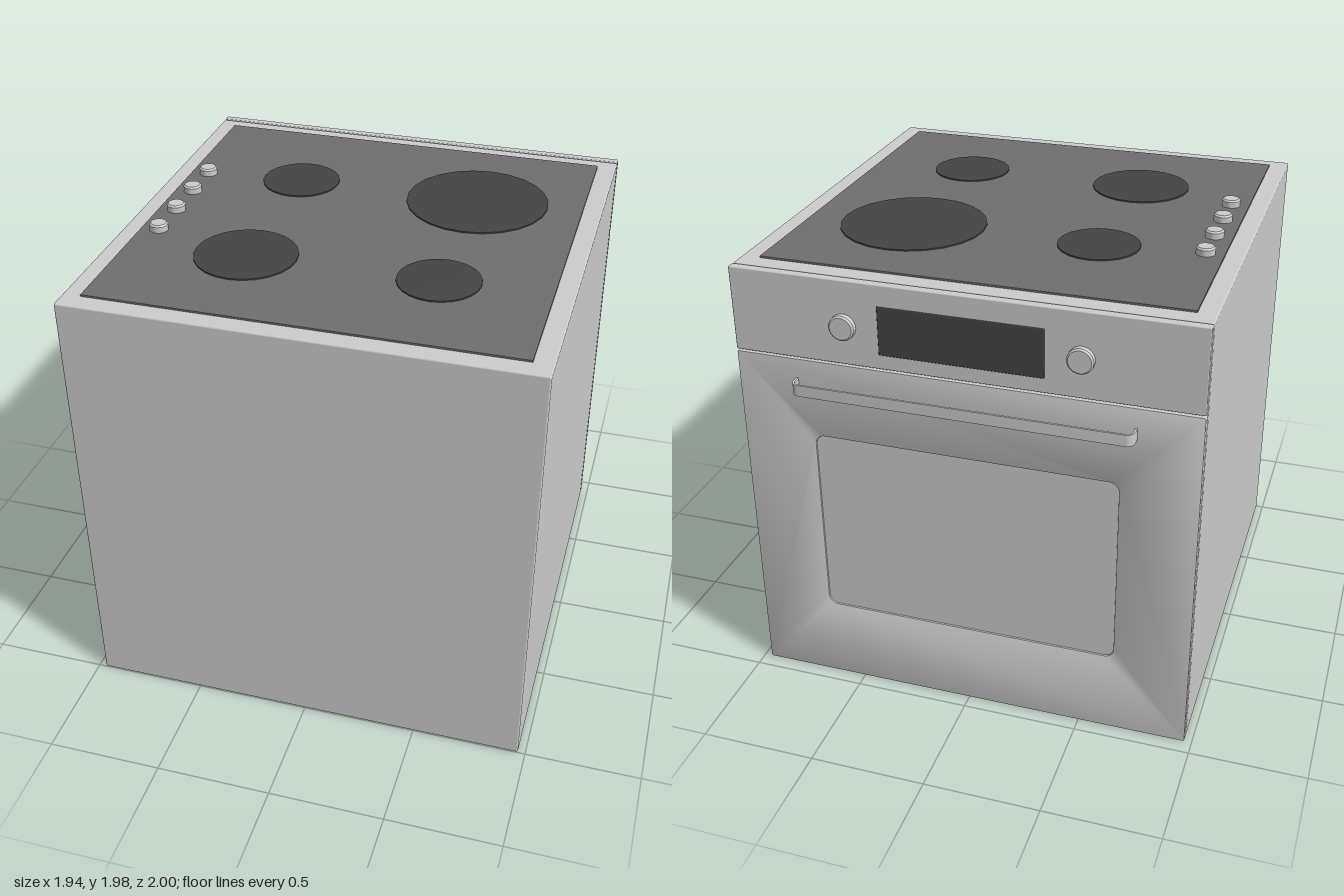
import * as THREE from 'three';
import { RoundedBoxGeometry } from 'three/addons/geometries/RoundedBoxGeometry.js';
import { toCreasedNormals } from 'three/addons/utils/BufferGeometryUtils.js';

const material = (color) => new THREE.MeshStandardMaterial({ color });

// Rounded rectangle outline, used for the door opening and its pane
function roundedRect(target, x0, y0, x1, y1, r) {
  target.moveTo(x0 + r, y0);
  target.lineTo(x1 - r, y0);
  target.absarc(x1 - r, y0 + r, r, -Math.PI / 2, 0);
  target.lineTo(x1, y1 - r);
  target.absarc(x1 - r, y1 - r, r, 0, Math.PI / 2);
  target.lineTo(x0 + r, y1);
  target.absarc(x0 + r, y1 - r, r, Math.PI / 2, Math.PI);
  target.lineTo(x0, y0 + r);
  target.absarc(x0 + r, y0 + r, r, Math.PI, Math.PI * 1.5);
  return target;
}

// Short knob with a bevelled rim, standing on its base along +y
function knobGeometry(r, h) {
  const b = 0.007;
  const profile = [[0, 0], [r, 0], [r, h - b], [r - b, h], [0, h]];
  const lathe = new THREE.LatheGeometry(profile.map(([x, y]) => new THREE.Vector2(x, y)), 24);
  return toCreasedNormals(lathe, 0.6);
}

export function createModel() {
  const model = new THREE.Group();
  model.name = 'cooker';
  const grey = material(0xcccccc);
  const glass = material(0x6e6e6e);
  const dark = material(0x444444);

  function add(name, geometry, mat, x = 0, y = 0, z = 0) {
    const mesh = new THREE.Mesh(geometry, mat);
    mesh.name = name;
    mesh.position.set(x, y, z);
    model.add(mesh);
    return mesh;
  }

  // Cabinet, with a slightly smaller core closing the seam behind the panels
  add('body', new RoundedBoxGeometry(1.936, 1.94, 1.893, 2, 0.008), grey, 0, 0.97, 0.0535);
  add('seamCore', new THREE.BoxGeometry(1.9, 1.9, 0.05), grey, 0, 0.97, -0.885);

  // Control panel above the oven door
  add('controlPanel', new RoundedBoxGeometry(1.936, 0.362, 0.037, 2, 0.005), grey, 0, 1.759, -0.9175);
  add('display', new RoundedBoxGeometry(0.68, 0.21, 0.01, 2, 0.004), dark, 0, 1.745, -0.934);
  for (const x of [-0.485, 0.485]) {
    const knob = add('panelKnob', knobGeometry(0.054, 0.03), grey, x, 1.745, -0.935);
    knob.rotation.x = -Math.PI / 2;
  }

  // Oven door with a rounded opening and a slightly recessed pane
  const door = new THREE.Shape();
  roundedRect(door, -0.964, 0.004, 0.964, 1.566, 0.004);
  door.holes.push(roundedRect(new THREE.Path(), -0.65, 0.37, 0.65, 1.23, 0.045));
  const doorGeometry = new THREE.ExtrudeGeometry(door, {
    depth: 0.029, bevelThickness: 0.004, bevelSize: 0.004, bevelSegments: 2, curveSegments: 6,
  });
  add('ovenDoor', toCreasedNormals(doorGeometry, 0.6), grey, 0, 0, -0.932);
  const pane = roundedRect(new THREE.Shape(), -0.65, 0.37, 0.65, 1.23, 0.045);
  add('ovenWindow', new THREE.ExtrudeGeometry(pane, { depth: 0.02, bevelEnabled: false }), grey, 0, 0, -0.928);

  // Handle: a thin strip bent into a shallow U and extruded upwards
  const w = 0.71, t = 0.009, d = 0.068, r = 0.035;
  const strip = new THREE.Shape();
  strip.moveTo(-w, 0);
  strip.lineTo(-w + t, 0);
  strip.lineTo(-w + t, d - r);
  strip.absarc(-w + r, d - r, r - t, Math.PI, Math.PI / 2, true);
  strip.lineTo(w - r, d - t);
  strip.absarc(w - r, d - r, r - t, Math.PI / 2, 0, true);
  strip.lineTo(w - t, 0);
  strip.lineTo(w, 0);
  strip.lineTo(w, d - r);
  strip.absarc(w - r, d - r, r, 0, Math.PI / 2);
  strip.lineTo(-w + r, d);
  strip.absarc(-w + r, d - r, r, Math.PI / 2, Math.PI);
  const handle = new THREE.ExtrudeGeometry(strip, { depth: 0.05, bevelEnabled: false, curveSegments: 6 });
  handle.rotateX(-Math.PI / 2);
  add('doorHandle', toCreasedNormals(handle, 0.6), grey, 0, 1.435, -0.932);

  // Glass hob with four cooking zones
  add('hobGlass', new THREE.BoxGeometry(1.776, 0.012, 1.74), glass, -0.002, 1.942, 0.05);
  const zones = [[-0.38, -0.303, 0.172], [0.428, -0.303, 0.31], [-0.38, 0.437, 0.216], [0.428, 0.437, 0.172]];
  for (const [x, z, radius] of zones) {
    add('cookingZone', new THREE.CylinderGeometry(radius, radius, 0.008, 24), dark, x, 1.95, z);
  }

  // Hob knobs in a row along the right edge
  for (let i = 0; i < 4; i++) {
    add('hobKnob', knobGeometry(0.04, 0.034), grey, -0.812, 1.947, -0.264 + i * 0.194);
  }
  return model;
}
